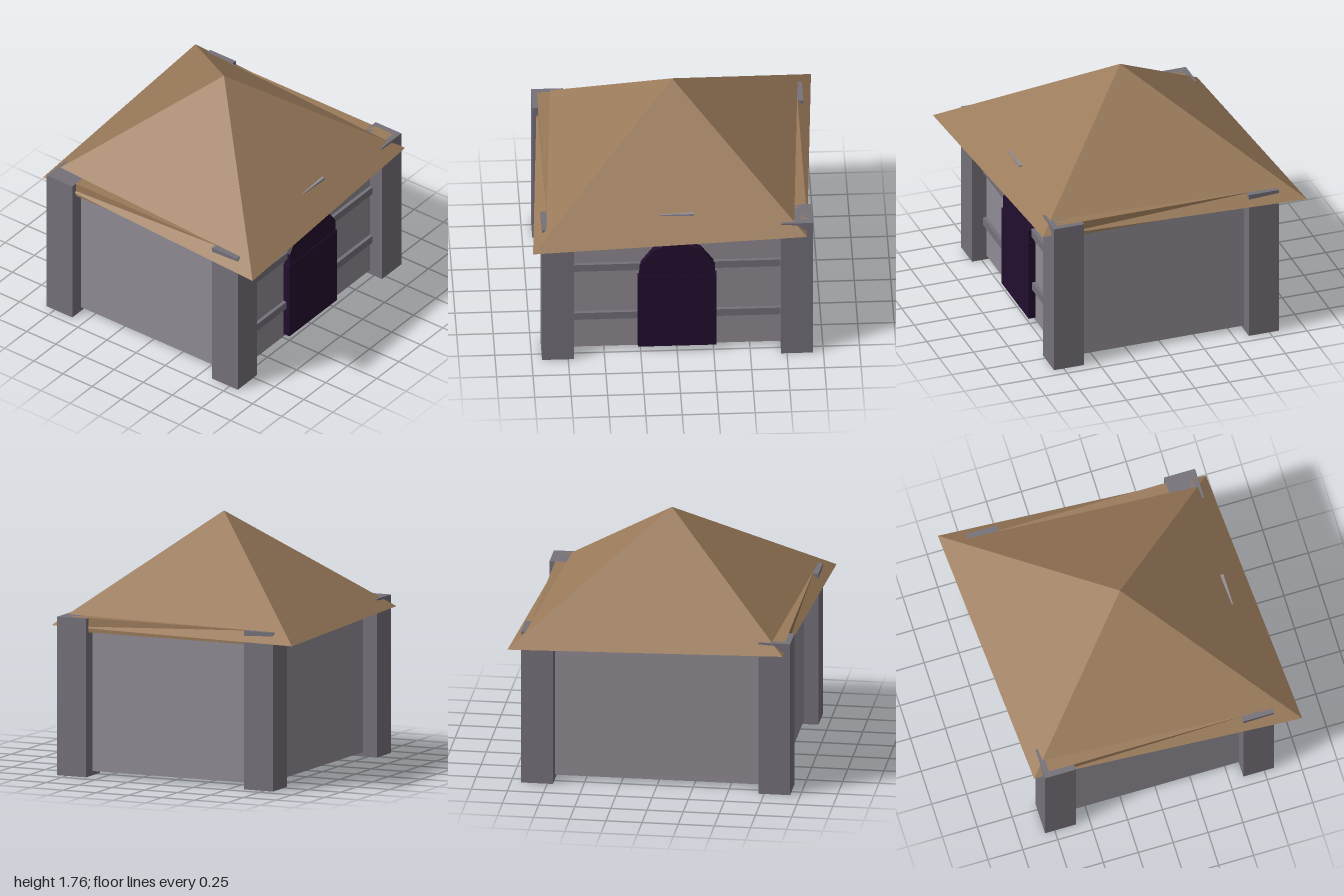
import * as THREE from 'three';

const mat = (color) => new THREE.MeshStandardMaterial({ color, flatShading: true });

export function createModel() {
  const group = new THREE.Group();
  group.name = 'hut';
  const stone = mat(0x918c94), trim = mat(0x75717a), wood = mat(0x9a7a5a);
  const dark = mat(0x220e2e), amber = mat(0xd08432);

  const add = (name, geometry, material, x = 0, y = 0, z = 0) => {
    const mesh = new THREE.Mesh(geometry, material);
    mesh.name = name;
    mesh.position.set(x, y, z);
    group.add(mesh);
    return mesh;
  };
  // box given by its lower and upper limits
  const box = (name, material, x0, x1, y0, y1, z0, z1) =>
    add(name, new THREE.BoxGeometry(x1 - x0, y1 - y0, z1 - z0), material,
      (x0 + x1) / 2, (y0 + y1) / 2, (z0 + z1) / 2);

  // wall block and the slab under the roof
  box('walls', stone, -0.83, 0.83, 0.03, 1.0, -0.715, 0.715);
  box('eaveSlab', wood, -0.89, 0.89, 1.0, 1.1, -0.78, 0.78);

  // corner pillars
  for (const sx of [-1, 1])
    for (const sz of [-1, 1])
      add('cornerPillar', new THREE.BoxGeometry(0.22, 1.1, 0.22), trim, sx * 0.82, 0.55, sz * 0.71);

  // horizontal bands on the front wall
  for (const y of [0.302, 0.71])
    box('frontBand', trim, -0.75, 0.75, y - 0.028, y + 0.028, 0.7, 0.74);

  // doorway: straight part and faceted arch
  box('doorway', dark, -0.27, 0.27, 0.05, 0.64, 0.69, 0.765);
  const arch = new THREE.CylinderGeometry(0.272, 0.272, 0.07, 10);
  arch.rotateX(Math.PI / 2).rotateZ(Math.PI);
  add('doorArch', arch, dark, 0, 0.643, 0.725);

  // plate and gem over the door
  box('doorPlate', stone, -0.115, 0.115, 0.935, 1.17, 0.7, 0.775);
  add('doorGem', new THREE.SphereGeometry(0.065, 8, 6), amber, 0, 1.04, 0.78);

  // pyramid roof, with two opposite corners pulled in
  const roof = new THREE.ConeGeometry(Math.SQRT2, 0.73, 4, 1, false, Math.PI / 4);
  const p = roof.attributes.position;
  for (let i = 0; i < p.count; i++) {
    const x = p.getX(i), z = p.getZ(i);
    if (x * z > 0.1) p.setXYZ(i, x * 0.885, p.getY(i), z * 0.885);
  }
  roof.computeVertexNormals();
  add('roof', roof, wood, 0, 1.395, 0);

  return group;
}
